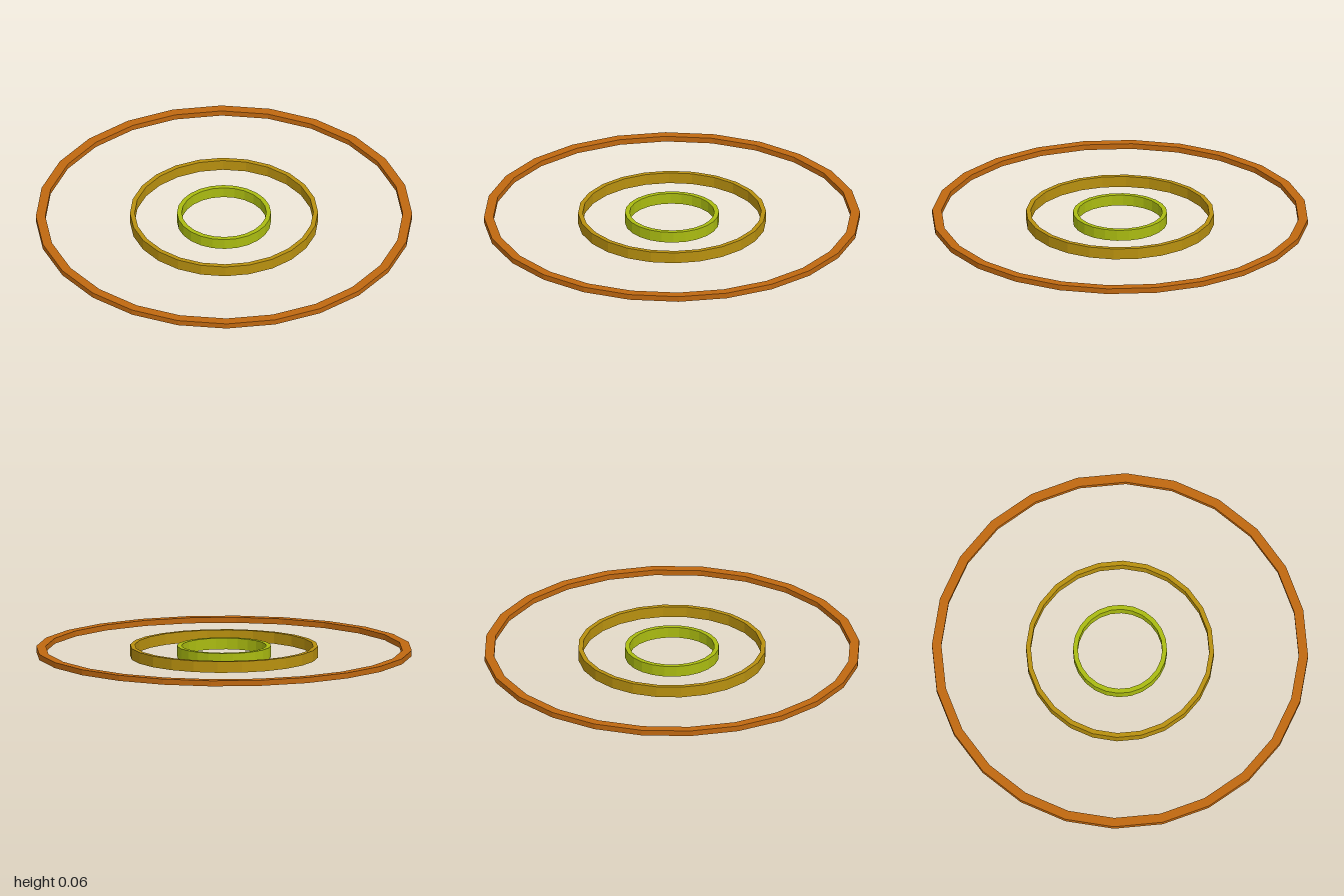
import * as THREE from 'three';

// Flat-sided ring: rectangular section swept round 24 sides
function ring(name, outer, inner, y0, y1, color) {
  const section = [[outer, y0], [outer, y1], [inner, y1], [inner, y0], [outer, y0]]
    .map(([r, y]) => new THREE.Vector2(r, y));
  const mesh = new THREE.Mesh(
    new THREE.LatheGeometry(section, 24),
    new THREE.MeshStandardMaterial({ color, flatShading: true })
  );
  mesh.name = name;
  return mesh;
}

export function createModel() {
  const group = new THREE.Group();
  group.name = 'concentricRings';
  group.add(
    ring('outerRing', 1, 0.95, 0.015, 0.045, 0xc06810),
    ring('middleRing', 0.5, 0.475, 0, 0.06, 0xb8900f),
    ring('innerRing', 0.25, 0.225, 0, 0.06, 0xaabb11)
  );
  return group;
}
